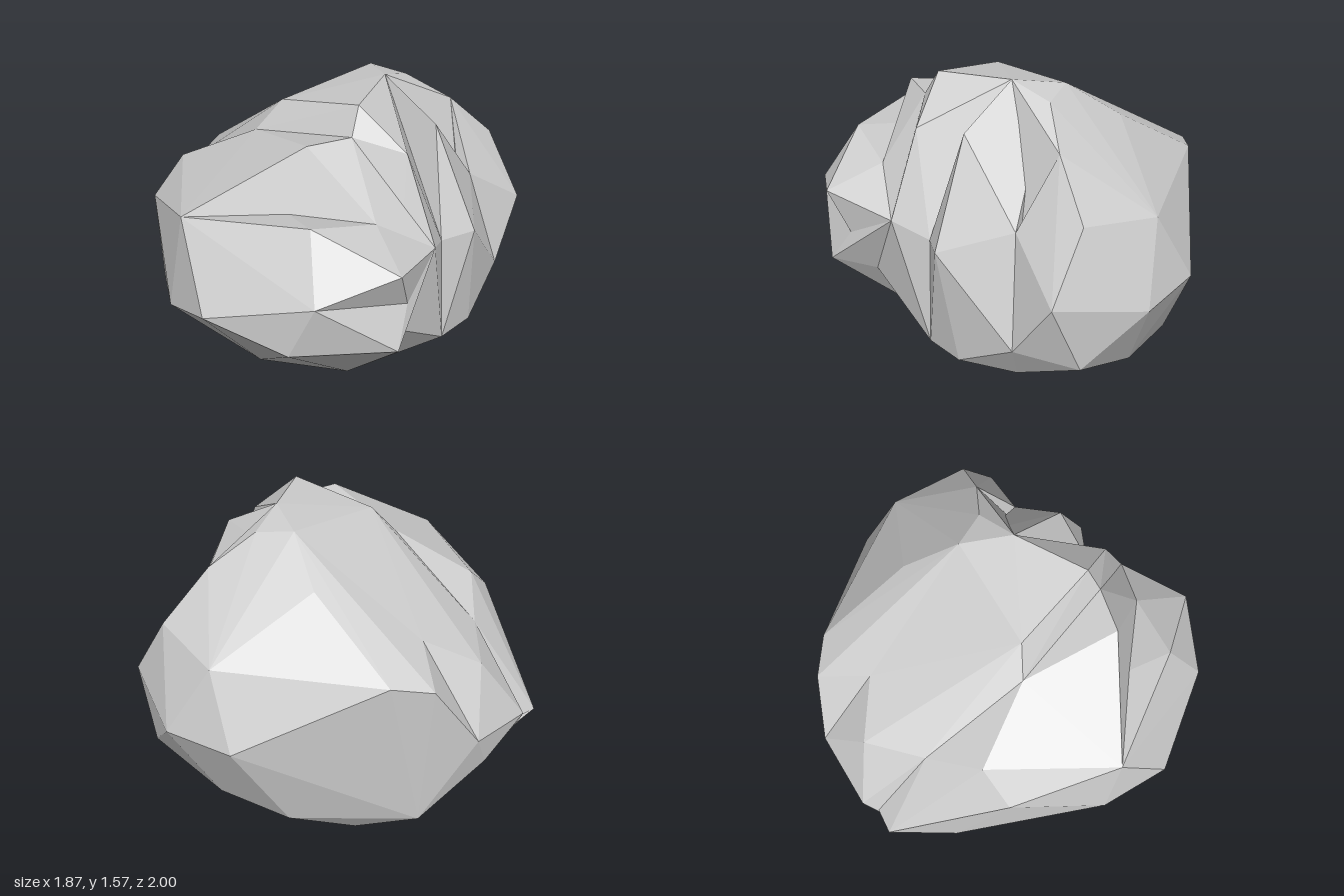
import * as THREE from 'three';
import { ConvexGeometry } from 'three/addons/geometries/ConvexGeometry.js';

// Each lobe of the boulder is a faceted hull around a few corner points; the lobes overlap.
const lobes = {
  base: [
    [-0.19, 0, 0.2], [-0.25, 0.06, -0.45], [-0.62, 0.115, 0.22], [0.46, 0.165, 0.25], [0.2, 0.28, 0.59],
    [0.76, 0.36, -0.1], [0.76, 0.365, -0.31], [0.6, 0.33, -0.53], [0.45, 0.2, -0.25], [0.14, 0.32, -0.81],
    [-0.22, 0.28, -0.73], [-0.42, 0.14, -0.47], [-0.71, 0.27, -0.36], [-0.64, 0.35, 0.55], [0, 0.9, 0],
  ],
  frontLobe: [
    // rounded nose
    [0, 0.68, 0.94], [0.32, 0.8, 0.995], [0.64, 0.67, 0.8], [0.93, 0.66, 0.43], [0.875, 0.83, 0.32],
    [0.74, 0.93, 0.74], [0.59, 1.2, 0.62], [0.07, 1.15, 0.89], [-0.42, 0.99, 0.7],
    // underside
    [-0.64, 0.35, 0.55], [-0.62, 0.115, 0.22], [-0.19, 0, 0.2], [0.2, 0.28, 0.59], [0.46, 0.165, 0.25],
    // rear corners
    [0.81, 0.97, 0.07], [0.67, 1.13, 0.31], [0.78, 0.61, 0.27], [-0.92, 0.58, 0.37], [-0.89, 0.56, 0.22], [-0.59, 1, 0.28],
  ],
  frontLeftRim: [
    [0.92, 1.03, 0.42], [0.74, 0.93, 0.74], [0.59, 1.2, 0.62], [0.67, 1.13, 0.31], [0.81, 0.97, 0.07],
    [0.875, 0.83, 0.32], [0.2, 0.9, 0.3],
  ],
  frontTerrace: [
    [0.38, 1.44, 0.44], [0.45, 1.44, 0.24], [-0.07, 1.34, 0.34], [-0.43, 1.14, 0.51], [-0.59, 1.02, 0.28],
    [-0.42, 0.99, 0.7], [0.07, 1.15, 0.89], [0.67, 1.13, 0.31], [0.81, 0.97, 0.07],
    [-0.92, 0.58, 0.37], [-0.89, 0.6, 0.22], [0, 0.8, 0.1],
  ],
  middleLobe: [
    // crest and the foot of its front wall
    [0, 1.48, 0.235], [0.45, 1.44, 0.24], [0.42, 1.56, 0.17], [0.27, 1.57, -0.16], [0.06, 1.535, -0.29],
    [-0.57, 1.13, -0.17], [-0.77, 0.98, 0.03], [-0.59, 1.02, 0.28], [-0.07, 1.34, 0.34],
    // right flank
    [-0.94, 0.67, 0.19], [-0.89, 0.56, 0.27], [-0.9, 0.72, -0.185], [-0.9, 0.55, -0.1],
    [-0.71, 0.27, -0.36], [-0.62, 0.115, 0.22],
    // left flank
    [0.63, 1.37, 0.08], [0.81, 0.97, 0.07], [0.72, 0.9, -0.09], [0.76, 0.36, -0.1],
    [0.78, 0.61, 0.27], [0.46, 0.165, 0.25],
  ],
  backLobe: [
    [0.27, 1.57, -0.16], [0.06, 1.535, -0.29], [0.23, 1.51, -0.36], [0.36, 1.37, -0.55],
    [-0.16, 1.36, -0.43], [-0.11, 1.16, -0.62], [0.08, 1.09, -0.87], [0.26, 0.75, -1], [-0.09, 0.75, -0.955],
    [-0.22, 0.28, -0.73], [0.14, 0.32, -0.81], [0.56, 0.4, -0.5], [0.52, 1, -0.45],
    [-0.62, 1.07, -0.5], [-0.76, 1.03, -0.36], [-0.57, 1.13, -0.17], [-0.9, 0.72, -0.185],
    [-0.71, 0.27, -0.36], [-0.42, 0.14, -0.47],
  ],
  leftRib: [
    [0.57, 1.41, -0.18], [0.27, 1.57, -0.16], [0.23, 1.43, -0.31], [0.8, 0.93, -0.23], [0.72, 0.9, -0.09],
    [0.76, 0.36, -0.1], [0.76, 0.365, -0.31], [0.6, 0.33, -0.53], [0.69, 0.54, -0.6], [0.56, 1.045, -0.49], [0.2, 0.7, -0.2],
  ],
  backLeftSpur: [
    [0.45, 1.15, -0.78], [0.36, 1.37, -0.55], [0.69, 0.54, -0.6], [0.56, 1.045, -0.49], [0.65, 0.84, -0.8],
    [0.52, 0.49, -0.85], [0.14, 0.32, -0.81], [0.26, 0.75, -1], [0.08, 1.09, -0.87], [0.6, 0.33, -0.53], [0, 0.7, -0.3],
  ],
};

export function createModel() {
  const group = new THREE.Group();
  group.name = 'boulder';
  const stone = new THREE.MeshStandardMaterial({ color: 0xcccccc, flatShading: true });
  for (const [name, corners] of Object.entries(lobes)) {
    const geometry = new ConvexGeometry(corners.map((p) => new THREE.Vector3(...p)));
    const mesh = new THREE.Mesh(geometry, stone);
    mesh.name = name;
    group.add(mesh);
  }
  return group;
}
